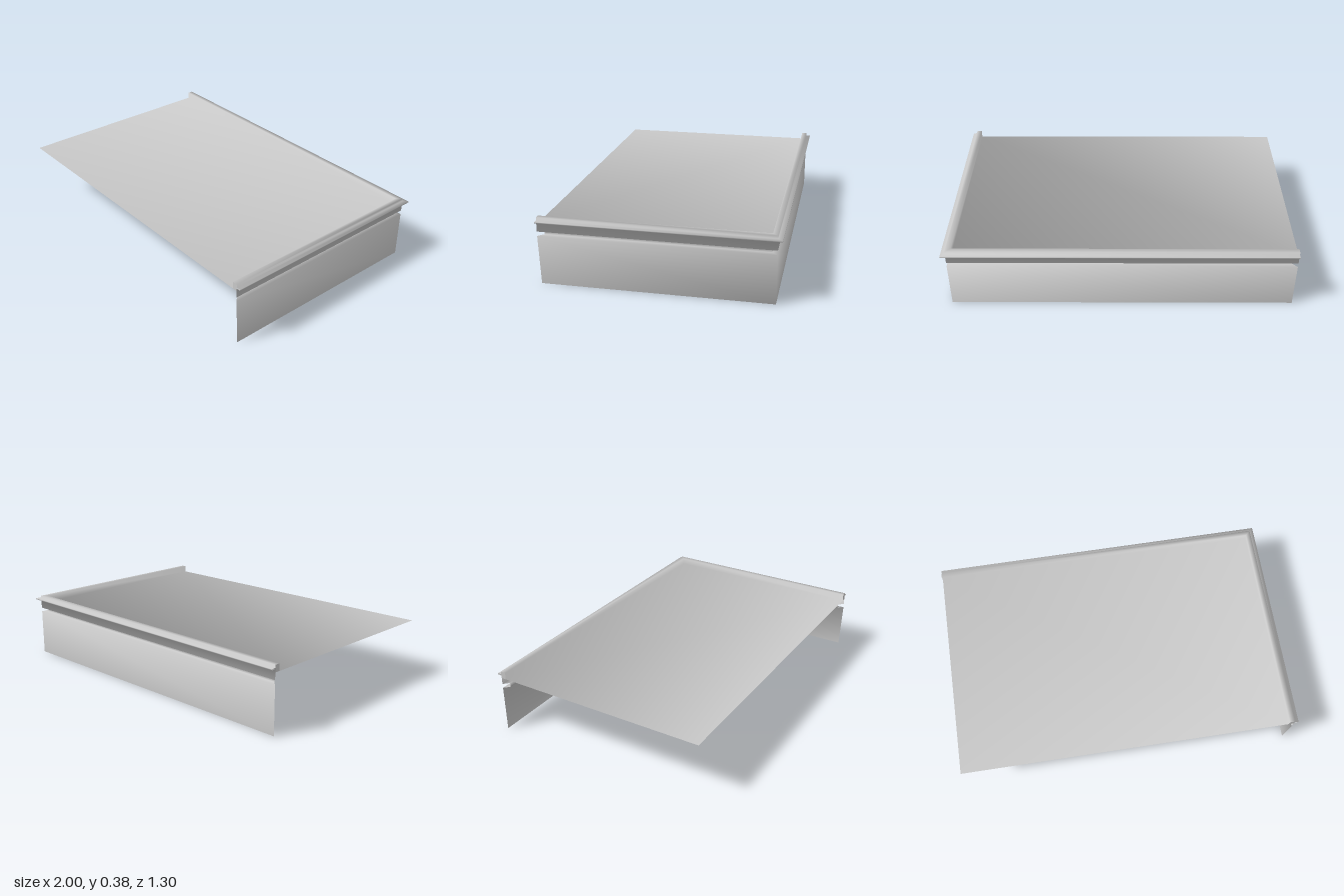
import * as THREE from 'three';

const FRONT = 0.65;

// Section swept round the corner: [distance out, height, inset at left end, inset at front end]
const PROFILE = [
  [0.975, 0, 0, 0.01],
  [0.975, 0.275, 0, 0],
  [0.945, 0.275, 0.03, 0.03],
  [0.945, 0.3, 0.03, 0.03],
  [0.975, 0.3, 0, 0],
  [0.975, 0.355, 0, 0],
  [1.0, 0.357, 0, 0],
  [1.0, 0.363, 0, 0],
  [0.975, 0.365, 0, 0],
  [0.975, 0.38, 0, 0],
  [0.945, 0.38, 0, 0],
  [0.945, 0.34, 0, 0],
];

// Smooth normals, each face weighted by its angle at the corner
function smoothNormals(points, index) {
  const normals = points.map(() => new THREE.Vector3());
  for (let i = 0; i < index.length; i += 3) {
    const ids = index.slice(i, i + 3);
    const [a, b, c] = ids.map((id) => points[id]);
    const n = new THREE.Triangle(a, b, c).getNormal(new THREE.Vector3());
    ids.forEach((id, k) => {
      const u = points[ids[(k + 1) % 3]].clone().sub(points[id]);
      const v = points[ids[(k + 2) % 3]].clone().sub(points[id]);
      normals[id].addScaledVector(n, u.angleTo(v));
    });
  }
  return normals.map((n) => n.normalize());
}

const flatten = (vectors) =>
  new THREE.Float32BufferAttribute(vectors.flatMap((v) => v.toArray()), 3);

export function createModel() {
  const group = new THREE.Group();
  const grey = new THREE.MeshStandardMaterial({ color: 0xc8c8c8, side: THREE.DoubleSide });
  grey.name = 'grey';

  // Each profile point gives a left end, a mitred corner and a front end
  const points = PROFILE.flatMap(([out, y, endX, endZ]) => {
    const back = 0.345 - out + 0.002;
    return [
      new THREE.Vector3(-1 + endX, y, back),
      new THREE.Vector3(out, y, back),
      new THREE.Vector3(out, y, FRONT - endZ),
    ];
  });
  const last = (PROFILE.length - 1) * 3;
  const roofCorner = points.push(new THREE.Vector3(-1, 0.34, FRONT)) - 1;

  const quad = (a, b, c, d) => [a, b, c, a, c, d];
  const strip = (from, to) => {
    const index = [];
    for (let j = from; j < to; j++) {
      for (let i = 0; i < 2; i++) {
        const p = j * 3 + i;
        index.push(...quad(p, p + 3, p + 4, p + 1));
      }
    }
    return index;
  };

  // Parts share their border vertices so that the shading runs on
  const parts = {
    walls: strip(0, 1),
    recess: strip(1, 4),
    cornice: strip(4, 8),
    parapet: strip(8, 11),
    roof: quad(last, roofCorner, last + 2, last + 1),
  };
  const position = flatten(points);
  const normal = flatten(smoothNormals(points, Object.values(parts).flat()));

  for (const [name, index] of Object.entries(parts)) {
    const geometry = new THREE.BufferGeometry();
    geometry.setAttribute('position', position);
    geometry.setAttribute('normal', normal);
    geometry.setIndex(index);
    const mesh = new THREE.Mesh(geometry, grey);
    mesh.name = name;
    group.add(mesh);
  }

  // Flat caps closing both ends of the parapet
  for (const [name, x, z, turn] of [
    ['frontParapetCap', 0.96, FRONT, 0],
    ['leftParapetCap', -1, -0.613, -Math.PI / 2],
  ]) {
    const cap = new THREE.Mesh(new THREE.PlaneGeometry(0.03, 0.04), grey);
    cap.name = name;
    cap.position.set(x, 0.36, z);
    cap.rotation.y = turn;
    group.add(cap);
  }
  return group;
}
